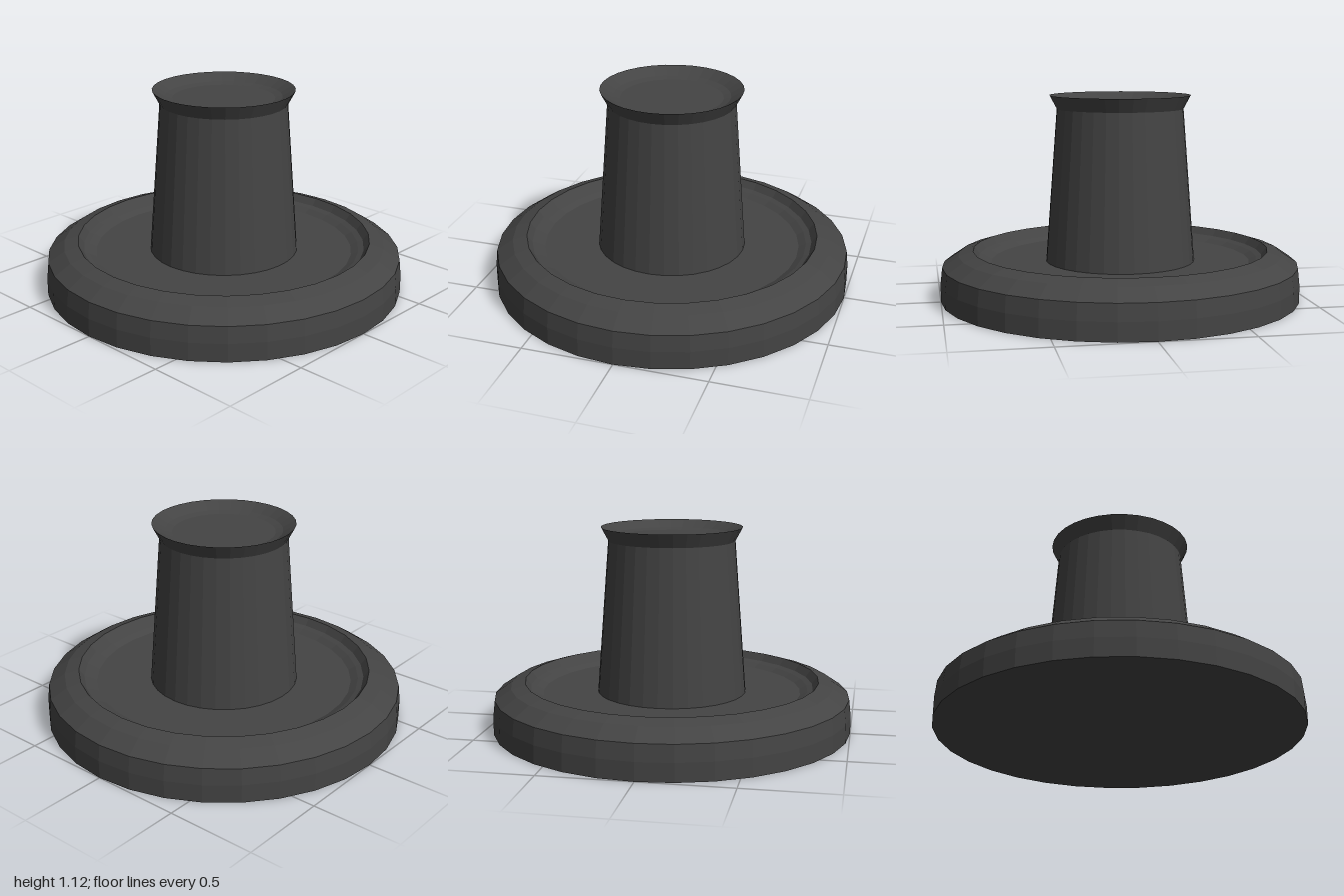
import * as THREE from 'three';

const SIDES = 32;

export function createModel() {
  const group = new THREE.Group();
  const material = new THREE.MeshStandardMaterial({ color: 0x444444, flatShading: true });

  // Turned part from [radius, height] pairs, listed from the bottom up
  const turned = (name, profile) => {
    const points = profile.map(([r, y]) => new THREE.Vector2(r, y));
    const mesh = new THREE.Mesh(new THREE.LatheGeometry(points, SIDES), material);
    mesh.name = name;
    group.add(mesh);
  };

  // Round foot with a bevelled rim and a stepped, recessed top
  turned('base', [
    [0, 0], [1, 0], [1, 0.1], [0.99, 0.19], [0.9, 0.25], [0.82, 0.275],
    [0.79, 0.235], [0.76, 0.225], [0.72, 0.205], [0, 0.205],
  ]);

  // Tapered column rising from the recess
  turned('stem', [[0.415, 0.2], [0.35, 1.05]]);

  // Flared lip with a shallow dished top
  turned('cup', [
    [0.35, 1.05], [0.39, 1.125], [0.36, 1.108], [0.32, 1.085], [0.28, 1.075], [0, 1.075],
  ]);

  return group;
}
